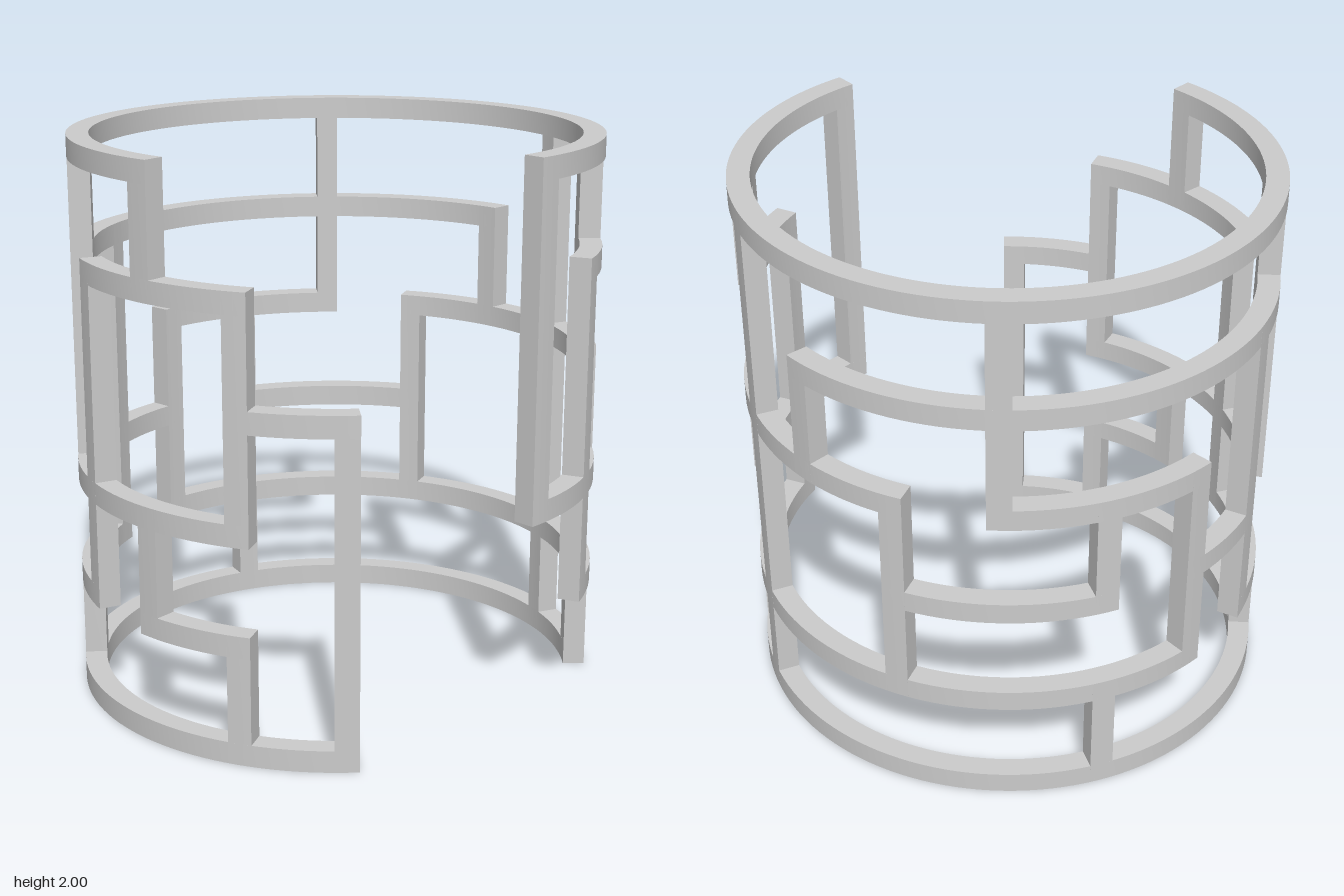
import * as THREE from 'three';
import { toCreasedNormals } from 'three/addons/utils/BufferGeometryUtils.js';

const RX = 0.926, RZ = 0.885;      // outer half-axes of the oval band
const WALL = 0.0775;               // strip thickness and height
const PITCH = (2 - WALL) / 5;      // spacing of the six levels
const STEP = 22.5, BAR = 5.2;      // column spacing and bar width, degrees from the front towards +x

// Curved block of the oval wall between two angles and two heights
function wallBlock(a0, a1, y0, y1) {
  const n = Math.max(2, Math.ceil((a1 - a0) / 2.6));
  const at = (i, inset) => {
    const t = THREE.MathUtils.degToRad(a0 + (a1 - a0) * i / n);
    return new THREE.Vector2((RX - inset) * Math.sin(t), -(RZ - inset) * Math.cos(t));
  };
  const pts = [];
  for (let i = 0; i <= n; i++) pts.push(at(i, 0));
  for (let i = n; i >= 0; i--) pts.push(at(i, WALL));
  const geo = new THREE.ExtrudeGeometry(new THREE.Shape(pts), { depth: y1 - y0, bevelEnabled: false });
  geo.rotateX(-Math.PI / 2);
  geo.translate(0, y0, 0);
  return toCreasedNormals(geo, 0.5);
}

// Horizontal strips per level: [first column, last column]
const STRIPS = [
  [[4, 16]],
  [[3, 10], [11, 13], [14, 15]],
  [[2, 4], [7, 9], [10, 11], [12, 15]],
  [[4, 7], [8, 10], [15, 16]],
  [[3, 4], [6, 12], [13, 15]],
  [[2, 14]],
];

// Upright bars: [column, bottom level, top level]
const UPRIGHTS = [
  [2, 2, 5], [3, 1, 4],
  [4, 0, 1], [4, 2, 3], [4, 4, 5],
  [5, 0, 5], [6, 3, 4], [7, 1, 3], [8, 3, 5],
  [9, 0, 1], [9, 2, 3],
  [10, 1, 3], [11, 1, 4],
  [12, 0, 1], [12, 2, 5],
  [13, 1, 4],
  [14, 1, 2], [14, 4, 5],
  [15, 0, 1], [15, 2, 4],
  [16, 0, 3],
];

export function createModel() {
  const model = new THREE.Group();
  model.name = 'openworkCuff';
  const material = new THREE.MeshStandardMaterial({ color: 0xcccccc });
  const add = (name, c0, c1, l0, l1) => {
    const geo = wallBlock(c0 * STEP, c1 * STEP + BAR, l0 * PITCH, l1 * PITCH + WALL);
    const mesh = new THREE.Mesh(geo, material);
    mesh.name = name;
    model.add(mesh);
  };

  STRIPS.forEach((arcs, level) => arcs.forEach(([a, b]) => add('curvedStrip', a, b, level, level)));
  UPRIGHTS.forEach(([col, lo, hi]) => add('uprightBar', col, col, lo, hi));
  return model;
}
